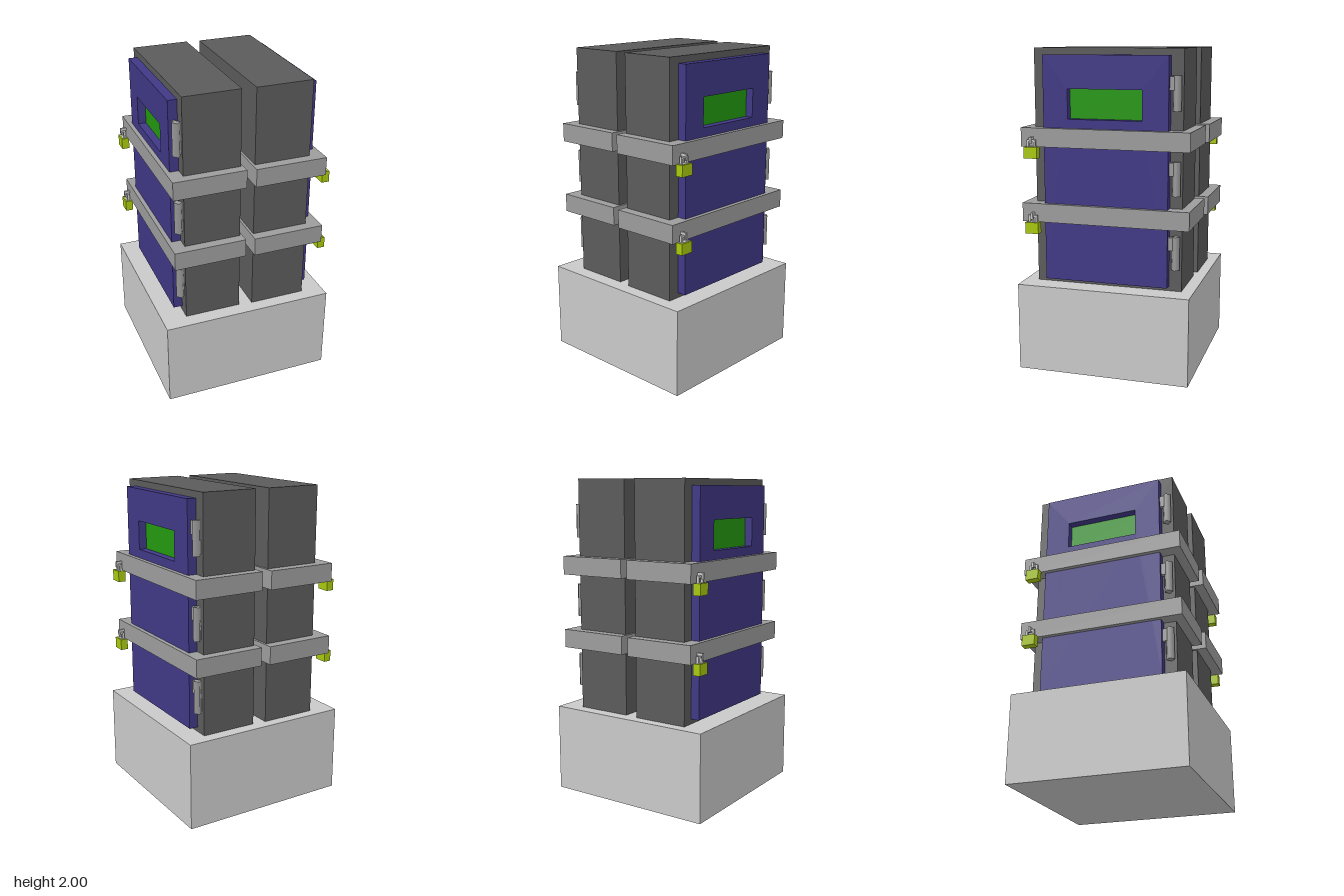
import * as THREE from 'three';

const material = (name, color, side = THREE.FrontSide) => {
  const m = new THREE.MeshStandardMaterial({ color, side });
  m.name = name;
  return m;
};

export function createModel() {
  const concrete = material('pale grey', 0xc9c9c9);
  const dark = material('dark grey', 0x5b5b5b);
  const steel = material('steel grey', 0x9c9c9c);
  const blue = material('door blue', 0x403885);
  const green = material('screen green', 0x23970f);
  const lime = material('padlock lime', 0xa8c80e);

  const add = (parent, name, geometry, mat) => {
    const mesh = new THREE.Mesh(geometry, mat);
    mesh.name = name;
    parent.add(mesh);
    return mesh;
  };
  // box given by its limits on each axis
  const box = (parent, name, mat, [x0, x1], [y0, y1], [z0, z1]) => {
    const g = new THREE.BoxGeometry(x1 - x0, y1 - y0, z1 - z0);
    g.translate((x0 + x1) / 2, (y0 + y1) / 2, (z0 + z1) / 2);
    return add(parent, name, g, mat);
  };
  const rect = (target, a, b, c, d) => {
    target.moveTo(a, c);
    target.lineTo(b, c);
    target.lineTo(b, d);
    target.lineTo(a, d);
    target.closePath();
    return target;
  };

  function createCabinet(name) {
    const cabinet = new THREE.Group();
    cabinet.name = name;
    box(cabinet, 'cabinetBody', dark, [0.05, 0.404], [0.55, 2], [-0.467, 0.46]);

    // door with a window opening, extruded towards +x
    const shape = rect(new THREE.Shape(), -0.385, 0.39, 0.58, 1.96);
    shape.holes.push(rect(new THREE.Path(), -0.23, 0.23, 1.58, 1.76));
    const door = new THREE.ExtrudeGeometry(shape, { depth: 0.056, bevelEnabled: false });
    door.rotateY(Math.PI / 2).translate(0.404, 0, 0);
    add(cabinet, 'door', door, blue);
    box(cabinet, 'windowScreen', green, [0.404, 0.41], [1.58, 1.76], [-0.23, 0.23]);

    // hinges: a square pin, an upper leaf on the door and a lower leaf on the body
    for (const y of [0.69, 1.14, 1.64]) {
      const hinge = new THREE.Group();
      hinge.name = 'hinge';
      hinge.position.y = y;
      cabinet.add(hinge);
      const pin = new THREE.CylinderGeometry(0.026, 0.026, 0.205, 4);
      pin.translate(0.428, 0.1025, -0.433);
      add(hinge, 'hingePin', pin, steel);
      box(hinge, 'doorLeaf', steel, [0.416, 0.439], [0.12, 0.2], [-0.43, -0.388]);
      box(hinge, 'bodyLeaf', steel, [0.402, 0.425], [0.01, 0.09], [-0.444, -0.422]);
    }

    // locking bars, each with a hook and a hanging padlock
    for (const y of [0.945, 1.41]) {
      const bar = new THREE.Group();
      bar.name = 'lockingBar';
      bar.position.y = y;
      cabinet.add(bar);
      box(bar, 'band', steel, [0.035, 0.487], [0, 0.115], [-0.527, 0.523]);
      box(bar, 'hookArm', concrete, [0.485, 0.526], [0.046, 0.062], [0.441, 0.455]);
      box(bar, 'hookTip', concrete, [0.517, 0.526], [0.022, 0.062], [0.441, 0.455]);
      box(bar, 'padlockBody', lime, [0.482, 0.53], [-0.067, 0.003], [0.405, 0.49]);
      box(bar, 'padlockCap', concrete, [0.491, 0.521], [0.003, 0.005], [0.414, 0.481]);
      for (const z of [0.42, 0.463])
        box(bar, 'shackleLeg', concrete, [0.496, 0.512], [0.003, 0.046], [z, z + 0.013]);
      box(bar, 'shackleTop', concrete, [0.496, 0.512], [0.033, 0.046], [0.42, 0.476]);
    }
    return cabinet;
  }

  const model = new THREE.Group();
  model.name = 'lockedCabinets';
  box(model, 'plinth', concrete, [-0.543, 0.543], [0, 0.55], [-0.543, 0.543]);

  // two cabinets back to back, the second turned half round
  model.add(createCabinet('leftCabinet'));
  const right = createCabinet('rightCabinet');
  right.rotation.y = Math.PI;
  right.position.set(0.016, 0, -0.017);
  model.add(right);
  return model;
}
